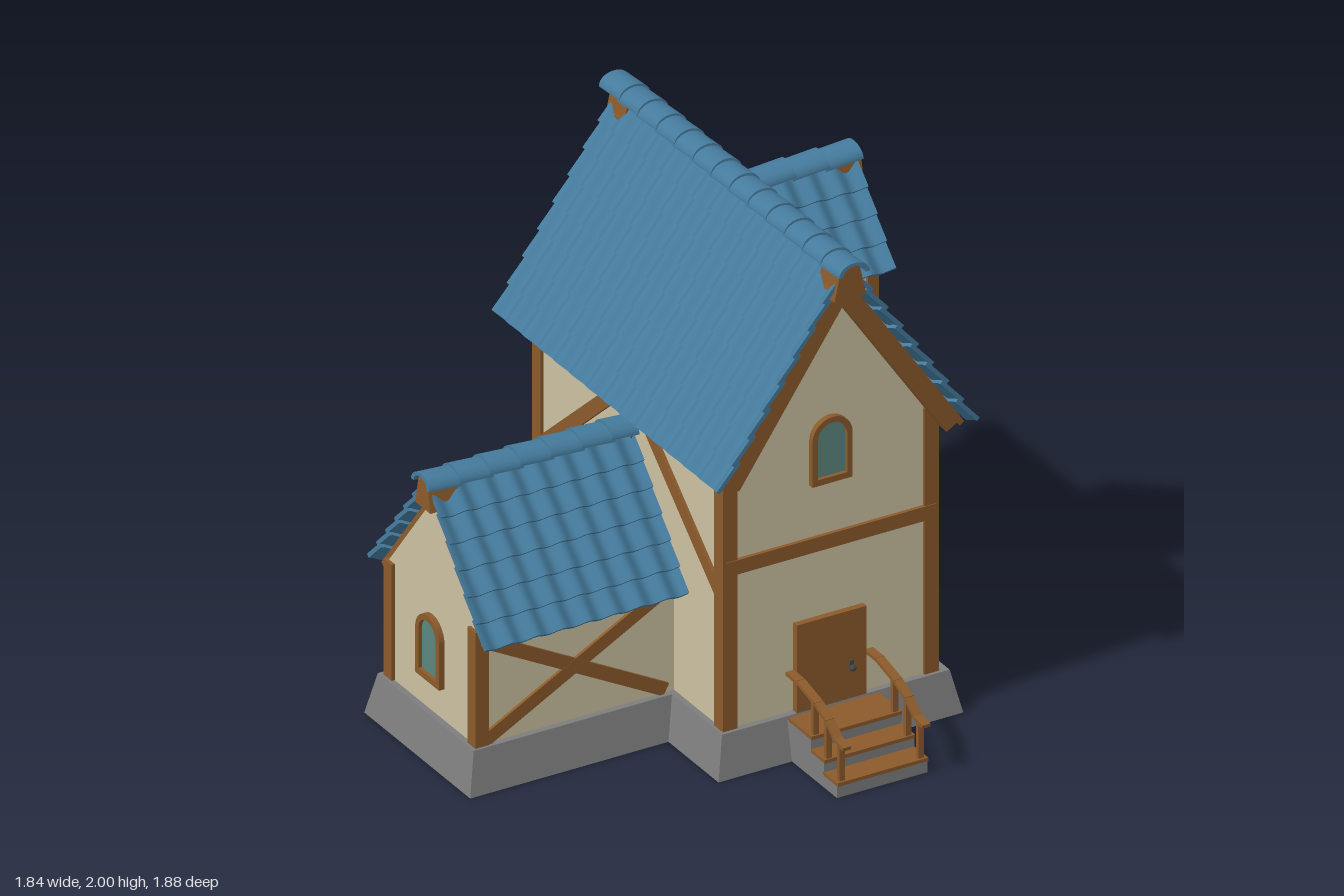
import * as THREE from 'three';

const paint = (name, color) => Object.assign(new THREE.MeshStandardMaterial({ color }), { name });
const wood = paint('brown wood', 0x8b5a2b);
const plaster = paint('cream plaster', 0xcbc1a2);
const tile = paint('blue tile', 0x457b9d);
const stone = paint('grey stone', 0x7d7d7d);
const glass = paint('teal glass', 0x5b877f);
const iron = paint('dark iron', 0x45474a);

function add(parent, name, geo, mat, x = 0, y = 0, z = 0) {
  const m = new THREE.Mesh(geo, mat);
  m.name = name;
  m.position.set(x, y, z);
  parent.add(m);
  return m;
}
function group(parent, name, x = 0, y = 0, z = 0, turn = 0) {
  const g = new THREE.Group();
  g.name = name;
  g.position.set(x, y, z);
  g.rotation.y = turn;
  parent.add(g);
  return g;
}
const box = (w, h, d) => new THREE.BoxGeometry(w, h, d);
const polygon = (pts) => new THREE.Shape(pts.map(([x, y]) => new THREE.Vector2(x, y)));
const extrude = (shape, depth) =>
  new THREE.ExtrudeGeometry(shape, { depth, bevelEnabled: false, curveSegments: 10 });

// straight timber in a wall plane, from a to b
function beam(parent, name, a, b, width, depth = 0.03, z = 0) {
  const dx = b[0] - a[0], dy = b[1] - a[1];
  const m = add(parent, name, box(Math.hypot(dx, dy), width, depth), wood,
    (a[0] + b[0]) / 2, (a[1] + b[1]) / 2, z);
  m.rotation.z = Math.atan2(dy, dx);
  return m;
}

// arched window standing on its bottom centre, facing +z
function arch(w, h, y0) {
  const s = new THREE.Shape();
  s.moveTo(-w, y0);
  s.lineTo(w, y0);
  s.lineTo(w, h - w);
  s.absarc(0, h - w, w, 0, Math.PI, false);
  s.lineTo(-w, y0);
  return s;
}
function archedWindow(parent, y) {
  const g = group(parent, 'window', 0, y, 0);
  const frame = arch(0.082, 0.262, 0);
  frame.holes.push(arch(0.06, 0.24, 0.024));
  add(g, 'windowFrame', extrude(frame, 0.035), wood, 0, 0, -0.012);
  add(g, 'windowGlass', extrude(arch(0.062, 0.242, 0.022), 0.008), glass);
}

// five-sided wall block with gables at both z ends
function gableWalls(parent, name, half, y0, eave, apex, z0, z1) {
  const s = polygon([[-half, y0], [half, y0], [half, eave], [0, apex], [-half, eave]]);
  add(parent, name, extrude(s, z1 - z0), plaster, 0, 0, z0);
}

// one wavy course of tiles
function tileCourse(width, length, cols) {
  const g = new THREE.BoxGeometry(width, 0.016, length, 1, 1, cols * 8);
  const p = g.attributes.position;
  for (let i = 0; i < p.count; i++)
    p.setY(i, p.getY(i) + 0.011 * Math.cos((p.getZ(i) / length + 0.5) * cols * 2 * Math.PI));
  g.computeVertexNormals();
  return g;
}

// pitched roof with its ridge along z, and trimmed gables at the listed ends
function roof(parent, o) {
  const pitch = Math.atan2(o.drop, o.half);
  const slopeLen = Math.hypot(o.drop, o.half);
  const step = slopeLen / o.rows;
  const course = tileCourse(step * 1.2, o.length, o.cols);
  for (const turn of [0, Math.PI]) {
    const side = group(parent, 'roofSlope', 0, o.ridge, 0, turn);
    const slope = group(side, 'slopeParts');
    slope.rotation.z = -pitch;
    add(slope, 'roofDeck', box(slopeLen, 0.022, o.length - 0.07), wood, slopeLen / 2, -0.011, 0);
    for (let i = 0; i < o.rows; i++) {
      const row = add(slope, 'tileCourse', course, tile, (i + 0.5) * step, 0.019, 0);
      row.rotation.z = 0.13;
    }
    for (const e of o.ends) {
      const ze = e * (turn ? -1 : 1) * (o.length / 2 - 0.06);
      add(slope, 'rakeBoard', box(slopeLen - 0.02, o.board, 0.05), wood,
        slopeLen / 2 - 0.01, -0.01 - o.board / 2, ze);
    }
  }
  // apex blocks under the ridge
  const k = o.block;
  for (const e of o.ends) {
    const s = polygon([[-0.065 * k, -0.075 * k], [0.065 * k, -0.075 * k], [0.038 * k, 0.05], [-0.038 * k, 0.05]]);
    add(parent, 'apexBlock', extrude(s, 0.12), wood, 0, o.ridge, e * (o.length / 2 - 0.045) - 0.06);
  }
  // overlapping ridge caps
  const cap = new THREE.Shape();
  cap.absarc(0, 0, 0.063, 0, Math.PI, false);
  cap.absarc(0, 0, 0.045, Math.PI, 0, true);
  const [z0, z1] = o.caps;
  const capLen = (z1 - z0) / o.capCount;
  const capGeo = extrude(cap, capLen * 1.12);
  capGeo.scale(1, 0.72, 1);
  for (let i = 0; i < o.capCount; i++) {
    const c = add(parent, 'ridgeCap', capGeo, tile, 0, o.ridge + 0.024, z0 + i * capLen - capLen * 0.12);
    c.rotation.x = -0.07;
  }
}

// stone footing that narrows upwards: [x0, x1, z0, z1] at the bottom, inset at the top
function footing(parent, [x0, x1, z0, z1], inset, h = 0.165) {
  const w = x1 - x0, d = z1 - z0;
  const g = box(w, h, d);
  const p = g.attributes.position;
  for (let i = 0; i < p.count; i++) if (p.getY(i) > 0) {
    p.setX(i, p.getX(i) * (1 - 2 * inset / w));
    p.setZ(i, p.getZ(i) * (1 - 2 * inset / d));
  }
  g.computeVertexNormals();
  add(parent, 'stoneFooting', g, stone, (x0 + x1) / 2, h / 2, (z0 + z1) / 2);
}

export function createModel() {
  const model = new THREE.Group();
  model.name = 'house';
  const CX = 0.388, CZ = -0.105, HX = 0.43, HZ = 0.645;

  footing(model, [-0.1, 0.9, -0.78, 0.6], 0.035);
  footing(model, [-0.91, 0.2, -0.475, 0.255], 0.035, 0.1645);

  // main house
  const main = group(model, 'mainHouse', CX, 0, CZ);
  gableWalls(main, 'mainWalls', HX, 0.15, 1.24, 1.873, -HZ, HZ);
  for (const sx of [-1, 1]) for (const sz of [-1, 1])
    add(main, 'cornerPost', box(0.06, 1.07, 0.06), wood, sx * (HX - 0.018), 0.695, sz * (HZ - 0.018));
  roof(main, { ridge: 1.92, half: 0.495, drop: 0.73, length: 1.55, rows: 8, cols: 14, board: 0.062,
    block: 1, ends: [1, -1], caps: [-0.82, 0.82], capCount: 13 });

  const front = group(main, 'frontWall', 0, 0, HZ);
  const back = group(main, 'backWall', 0, 0, -HZ, Math.PI);
  for (const wall of [front, back]) {
    beam(wall, 'crossBeam', [-HX, 0.812], [HX, 0.812], 0.057);
    archedWindow(wall, 1.05);
  }
  beam(back, 'middlePost', [0, 0.16], [0, 0.8], 0.057);

  const right = group(main, 'leftSideWall', HX, 0, 0, Math.PI / 2);
  const left = group(main, 'rightSideWall', -HX, 0, 0, -Math.PI / 2);
  beam(right, 'crossBeam', [-HZ, 0.673], [HZ, 0.673], 0.057);
  archedWindow(right, 0.29);
  for (const wall of [right, left]) {
    beam(wall, 'middlePost', [0, 0.68], [0, 1.22], 0.057);
    for (const s of [-1, 1]) beam(wall, 'brace', [s * 0.63, 0.7], [s * 0.06, 1.2], 0.055, 0.025);
  }

  // front door
  add(front, 'door', box(0.285, 0.36, 0.04), wood, -0.005, 0.337, 0.005);
  add(front, 'doorPlate', box(0.016, 0.04, 0.008), iron, 0.073, 0.3, 0.028);
  const knob = add(front, 'doorKnob', new THREE.SphereGeometry(0.013, 10, 8), iron, 0.073, 0.292, 0.04);
  knob.scale.z = 0.8;

  // side annex, its gable facing -x
  const annex = group(model, 'annex', -0.45, 0, CZ, -Math.PI / 2);
  gableWalls(annex, 'annexWalls', 0.3, 0.15, 0.63, 1.01, -0.42, 0.4);
  roof(annex, { ridge: 1.05, half: 0.37, drop: 0.465, length: 0.85, rows: 6, cols: 8, board: 0.05,
    block: 0.8, ends: [1], caps: [-0.42, 0.452], capCount: 7 });
  for (const s of [-1, 1]) {
    add(annex, 'cornerPost', box(0.055, 0.47, 0.055), wood, s * 0.288, 0.395, 0.385);
    const wall = group(annex, 'annexSide', s * 0.3, 0, 0, s * Math.PI / 2);
    beam(wall, 'crossBrace', [-0.37, 0.18], [0.37, 0.58], 0.052, 0.024);
    beam(wall, 'crossBrace', [-0.37, 0.58], [0.37, 0.18], 0.052, 0.022);
  }
  archedWindow(group(annex, 'annexGable', 0, 0, 0.4), 0.29);

  // dormer facing +x
  const dormer = group(model, 'dormer', 0.665, 0, CZ, Math.PI / 2);
  gableWalls(dormer, 'dormerWalls', 0.185, 1.34, 1.63, 1.86, -0.15, 0.17);
  roof(dormer, { ridge: 1.89, half: 0.255, drop: 0.315, length: 0.41, rows: 4, cols: 4, board: 0.04,
    block: 0.62, ends: [1], caps: [-0.2, 0.21], capCount: 3 });
  for (const s of [-1, 1])
    add(dormer, 'dormerPost', box(0.035, 0.28, 0.045), wood, s * 0.182, 1.48, 0.168);
  add(dormer, 'dormerSill', box(0.4, 0.028, 0.05), wood, 0, 1.349, 0.17);
  archedWindow(group(dormer, 'dormerFace', 0, 0, 0.17), 1.43);

  // entrance steps with railings
  const steps = group(model, 'entranceSteps', 0.385, 0, 0);
  [[0.915, 0.06], [0.825, 0.11], [0.735, 0.162]].forEach(([z, y], i) => {
    add(steps, 'stoneStep', box(0.37, y - 0.012, z - 0.56), stone, 0, (y - 0.012) / 2, (z + 0.56) / 2 - 0.005);
    const depth = i === 2 ? 0.16 : 0.1;
    add(steps, 'tread', box(0.37, 0.014, depth), wood, 0, y - 0.006, z - depth / 2);
  });
  const path = [[0.94, 0.205], [0.88, 0.215], [0.82, 0.262], [0.745, 0.295], [0.62, 0.324], [0.545, 0.324]];
  for (const s of [-1, 1]) {
    const rail = group(steps, 'railing', s * 0.162, 0, 0, -Math.PI / 2);
    for (let i = 1; i < path.length; i++) beam(rail, 'handrail', path[i - 1], path[i], 0.014, 0.034);
    for (const [z, y0, y1] of [[0.897, 0.055, 0.21], [0.81, 0.105, 0.265], [0.72, 0.155, 0.3]])
      beam(rail, 'railPost', [z, y0], [z, y1], 0.018, 0.022);
  }
  return model;
}
